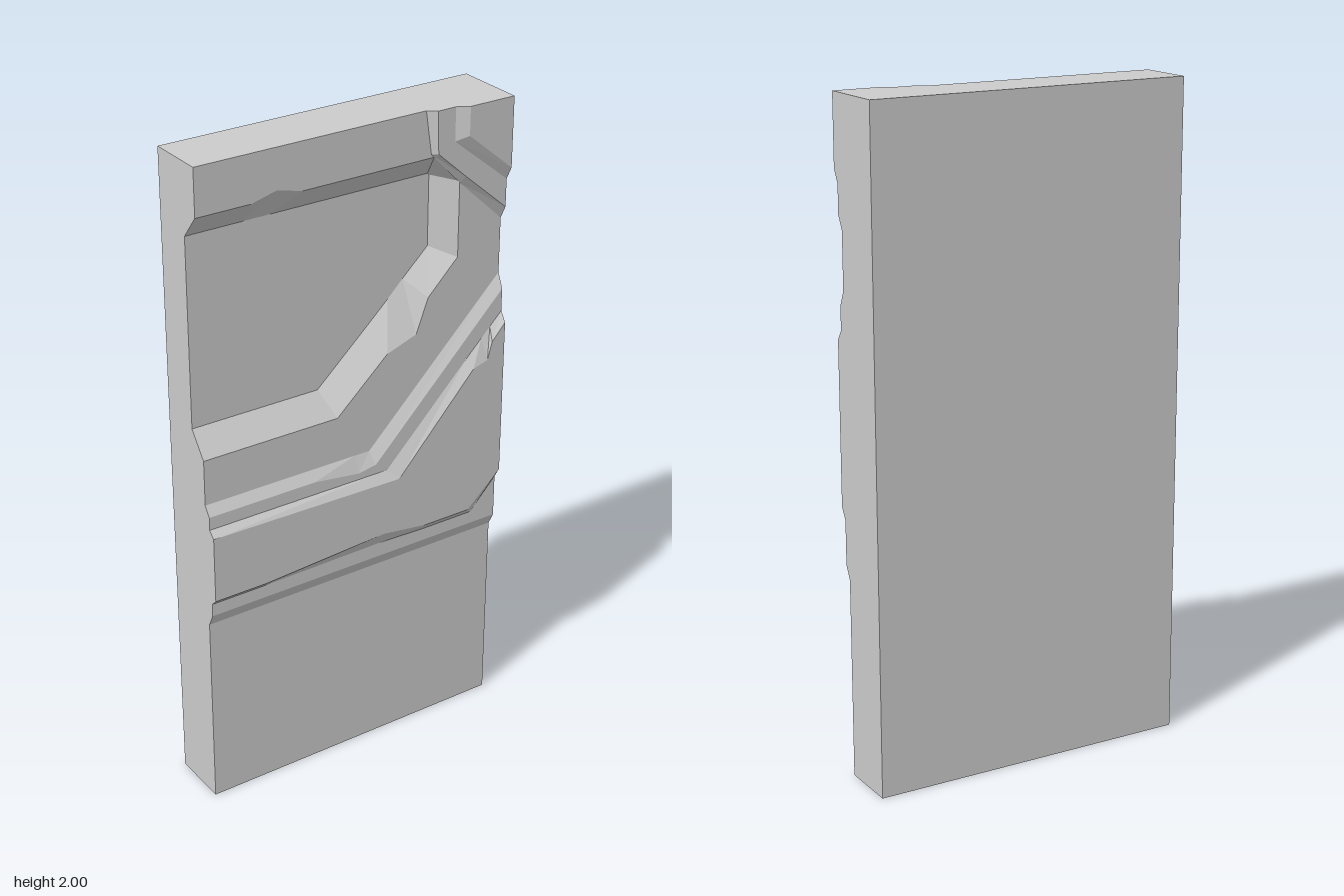
import * as THREE from 'three';

const material = new THREE.MeshStandardMaterial({ color: 0xcccccc, flatShading: true });

// A raised layer: sloped walls from the base outline (z0) to the top outline (z1), plus a flat cap.
// Each outline row is [baseX, baseY, topX, topY], counter-clockwise seen from the front.
function layer(name, z0, z1, rows) {
  const base = rows.map(r => new THREE.Vector3(r[0], r[1], z0));
  const top = rows.map(r => new THREE.Vector3(r[2], r[3], z1));
  const pts = [];
  rows.forEach((_, i) => {
    const j = (i + 1) % rows.length;
    pts.push(base[i], base[j], top[j], base[i], top[j], top[i]);
  });
  const contour = top.map(p => new THREE.Vector2(p.x, p.y));
  for (const tri of THREE.ShapeUtils.triangulateShape(contour, [])) {
    for (const k of tri) pts.push(top[k]);
  }
  const geometry = new THREE.BufferGeometry().setFromPoints(pts);
  geometry.computeVertexNormals();
  const mesh = new THREE.Mesh(geometry, material);
  mesh.name = name;
  return mesh;
}

export function createModel() {
  const group = new THREE.Group();
  group.name = 'reliefWallPanel';
  const BACK = -0.11, FLOOR = 0.013, FACE = 0.07, STEP = 0.09, FRONT = 0.11;

  // Backing slab, whose front is the floor of the recess
  const slab = new THREE.Mesh(new THREE.BoxGeometry(1, 2, FLOOR - BACK), material);
  slab.position.set(0, 1, (FLOOR + BACK) / 2);
  slab.name = 'backingSlab';
  group.add(slab);

  // Main face, with a bevelled recess open to one side
  group.add(layer('recessedFace', FLOOR, FACE, [
    [-0.5, 0, -0.5, 0],
    [0.5, 0, 0.5, 0],
    [0.5, 2, 0.5, 2],
    [-0.5, 2, -0.5, 2],
    [-0.5, 1.79, -0.5, 1.86],
    [-0.32, 1.79, -0.33, 1.86],
    [-0.24, 1.79, -0.25, 1.88], // chip
    [-0.16, 1.79, -0.17, 1.86],
    [0.28, 1.79, 0.26, 1.86],
    [0.285, 1.785, 0.35, 1.77],
    [0.285, 1.57, 0.35, 1.54],
    [0.2, 1.49, 0.25, 1.44],
    [0.15, 1.44, 0.21, 1.335], // chip
    [0.08, 1.375, 0.11, 1.3],
    [-0.09, 1.22, -0.06, 1.145],
    [-0.5, 1.22, -0.5, 1.145],
  ]));

  // Lower band in two steps, rising towards one side
  group.add(layer('bandLowerStep', FACE, STEP, [
    [-0.5, 0.61, -0.5, 0.65],
    [0.5, 0.61, 0.5, 0.65],
    [0.5, 1.455, 0.5, 1.41],
    [0.05, 1.005, 0.06, 0.965],
    [0, 1.005, 0, 0.955], // chip
    [-0.15, 1.005, -0.15, 0.975],
    [-0.5, 1.005, -0.5, 0.975],
  ]));
  group.add(layer('bandUpperStep', STEP, FRONT, [
    [-0.5, 0.69, -0.5, 0.71],
    [-0.33, 0.69, -0.33, 0.71],
    [0.08, 0.695, 0.08, 0.735], // chip
    [0.23, 0.69, 0.23, 0.715],
    [0.41, 0.69, 0.385, 0.715],
    [0.5, 0.785, 0.5, 0.82],
    [0.5, 1.34, 0.5, 1.31],
    [0.46, 1.3, 0.455, 1.26],
    [0.43, 1.27, 0.44, 1.205], // chip
    [0.38, 1.22, 0.39, 1.19],
    [0.1, 0.935, 0.13, 0.905],
    [-0.5, 0.935, -0.5, 0.915],
  ]));

  // Corner piece in two steps
  group.add(layer('cornerLowerStep', FACE, STEP, [
    [0.5, 1.625, 0.5, 1.665],
    [0.5, 2, 0.5, 2],
    [0.23, 2, 0.255, 2],
    [0.25, 1.87, 0.26, 1.875],
    [0.35, 1.765, 0.355, 1.79],
  ]));
  group.add(layer('cornerUpperStep', STEP, FRONT, [
    [0.5, 1.75, 0.5, 1.79],
    [0.5, 2, 0.5, 2],
    [0.315, 2, 0.35, 2],
    [0.315, 1.9, 0.35, 1.915],
  ]));

  return group;
}
